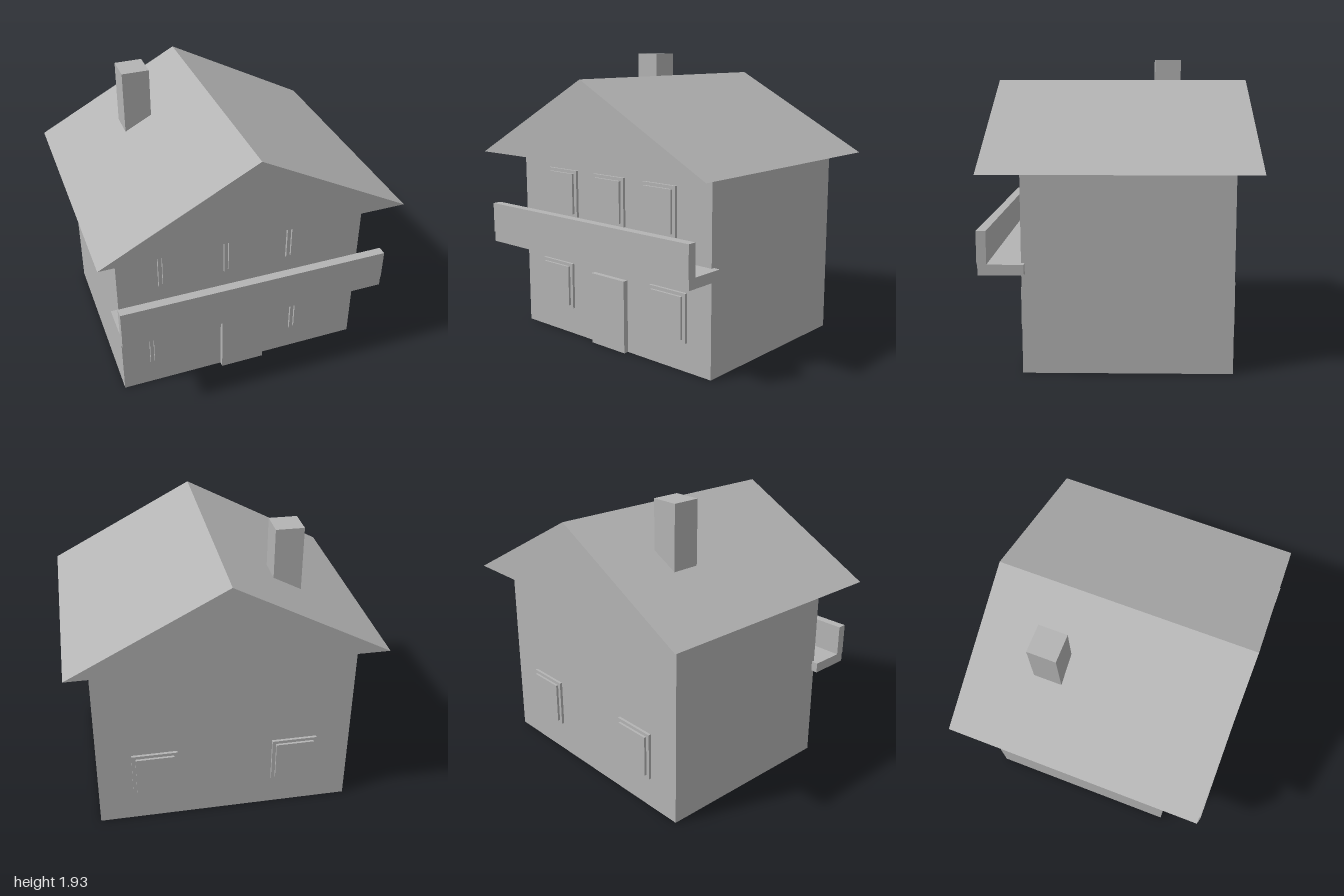
import * as THREE from 'three';

export function createModel() {
  const model = new THREE.Group();
  model.name = 'house';
  const grey = new THREE.MeshStandardMaterial({ color: 0xb4b4b4 });
  grey.name = 'plain grey';

  // Box given by its limits on each axis
  function box(name, [x0, x1], [y0, y1], [z0, z1], parent = model) {
    const mesh = new THREE.Mesh(new THREE.BoxGeometry(x1 - x0, y1 - y0, z1 - z0), grey);
    mesh.position.set((x0 + x1) / 2, (y0 + y1) / 2, (z0 + z1) / 2);
    mesh.name = name;
    parent.add(mesh);
  }

  const front = 0.593, back = -0.709;
  box('walls', [-0.85, 0.85], [0, 1.26], [back, front]);

  // Solid gable roof with flat soffit
  const gable = new THREE.Shape([
    new THREE.Vector2(-1, 1.26),
    new THREE.Vector2(1, 1.26),
    new THREE.Vector2(0, 1.79),
  ]);
  const roofGeometry = new THREE.ExtrudeGeometry(gable, { depth: 1.694, bevelEnabled: false });
  roofGeometry.translate(0, 0, -0.857);
  const roof = new THREE.Mesh(roofGeometry, grey);
  roof.name = 'roof';
  model.add(roof);

  box('chimney', [-0.532, -0.35], [1.4, 1.93], [-0.43, -0.244]);
  box('door', [-0.152, 0.152], [0, 0.49], [front - 0.02, 0.628]);

  // Balcony
  box('balconyFloor', [-0.895, 0.895], [0.633, 0.7], [0.571, 0.852]);
  box('balconyRail', [-0.895, 0.895], [0.7, 0.906], [0.797, 0.857]);

  // Window: outer frame plate with a raised inner pane
  function addWindow(name, x, y0, width, side) {
    const group = new THREE.Group();
    group.name = name;
    const wall = side > 0 ? front : back;
    const depth = (d) => [wall - side * 0.01, wall + side * d].sort((a, b) => a - b);
    const w = width / 2;
    box('frame', [x - w, x + w], [y0, y0 + 0.32], depth(0.018), group);
    box('pane', [x - w + 0.024, x + w - 0.024], [y0 + 0.022, y0 + 0.299], depth(0.034), group);
    model.add(group);
  }
  for (const x of [-0.442, 0.001, 0.441]) addWindow('upperWindow', x, 0.845, 0.277, 1);
  for (const x of [-0.511, 0.511]) addWindow('lowerWindow', x, 0.19, 0.3, 1);
  for (const x of [-0.47, 0.47]) addWindow('backWindow', x, 0.215, 0.302, -1);

  return model;
}
